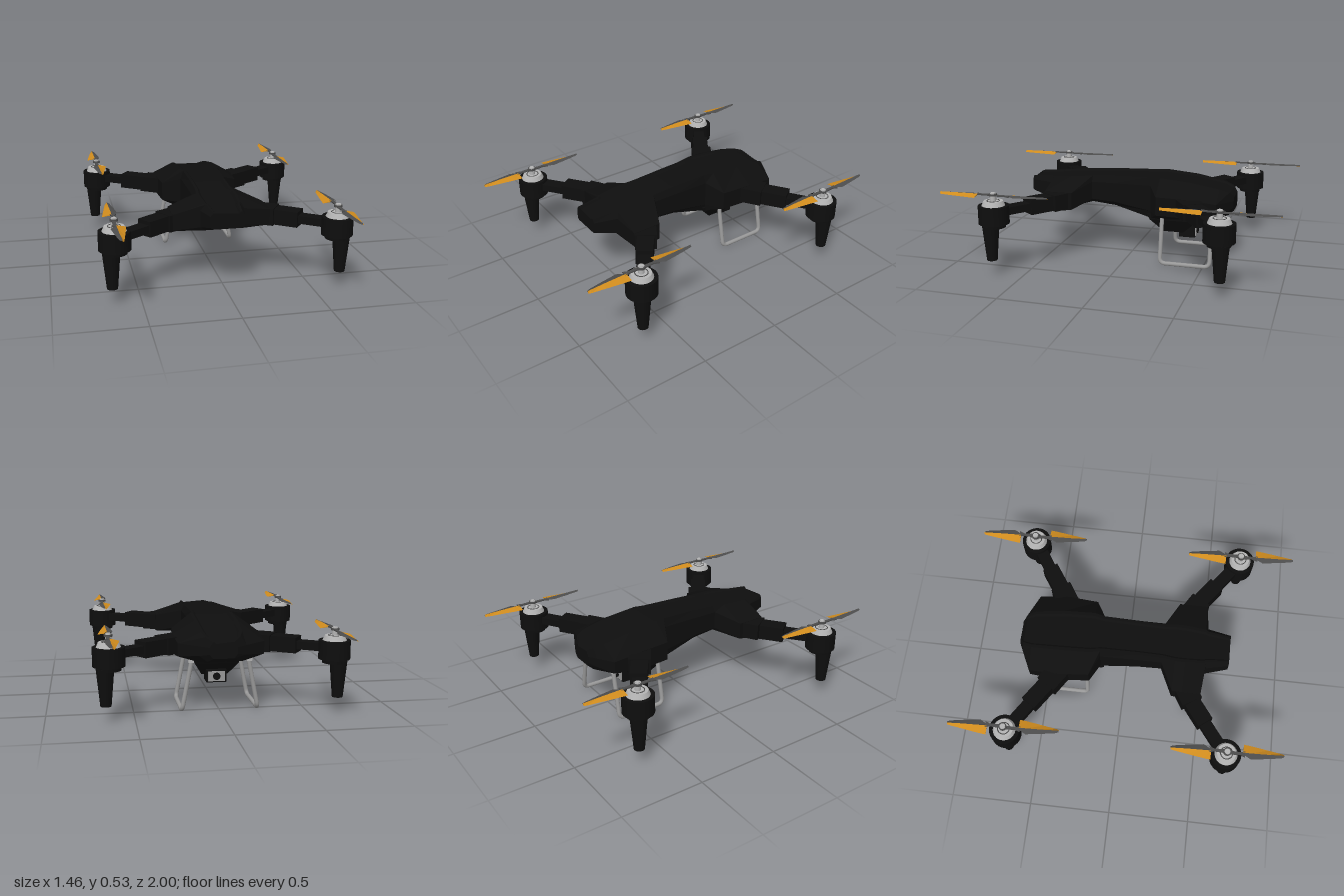
import * as THREE from 'three';

const mat = (name, color, flatShading = false) => {
  const m = new THREE.MeshStandardMaterial({ color, flatShading });
  m.name = name;
  return m;
};

// Closed solid through a list of rings, each clockwise as seen from the first end
function loft(rings) {
  const out = [];
  const n = rings[0].length;
  const tri = (a, b, c) => out.push(...a, ...b, ...c);
  for (let i = 0; i < rings.length - 1; i++) {
    for (let j = 0; j < n; j++) {
      const k = (j + 1) % n, A = rings[i], B = rings[i + 1];
      tri(A[j], A[k], B[j]);
      tri(A[k], B[k], B[j]);
    }
  }
  const first = rings[0], last = rings[rings.length - 1];
  for (let j = 1; j < n - 1; j++) {
    tri(first[0], first[j + 1], first[j]);
    tri(last[0], last[j], last[j + 1]);
  }
  const g = new THREE.BufferGeometry();
  g.setAttribute('position', new THREE.Float32BufferAttribute(out, 3));
  g.computeVertexNormals();
  return g;
}

export function createModel() {
  const black = mat('body black', 0x0e0e0e);
  const silver = mat('motor silver', 0xb4b4b4);
  const steel = mat('gear grey', 0x989898);
  const grey = mat('blade grey', 0x4c4c4c);
  const orange = mat('blade orange', 0xd08c1e);
  const model = new THREE.Group();

  const add = (parent, name, geo, material, x = 0, y = 0, z = 0) => {
    const m = new THREE.Mesh(geo, material);
    m.name = name;
    m.position.set(x, y, z);
    parent.add(m);
    return m;
  };
  const cyl = (rt, rb, h, n = 32) => new THREE.CylinderGeometry(rt, rb, h, n);
  const box = (w, h, d) => new THREE.BoxGeometry(w, h, d);

  // Fuselage: z, half width, ridge x, top, shoulder, low edge, belly half width, belly
  const stations = [
    [0.64, 0.10, 0.085, 0.485, 0.465, 0.40, 0.085, 0.39],
    [0.50, 0.13, 0.10, 0.495, 0.46, 0.36, 0.10, 0.345],
    [0.485, 0.29, 0.11, 0.497, 0.44, 0.345, 0.13, 0.335],
    [0.37, 0.29, 0.12, 0.507, 0.44, 0.325, 0.13, 0.315],
    [0.31, 0.29, 0.12, 0.51, 0.44, 0.335, 0.13, 0.328],
    [0.23, 0.13, 0.11, 0.517, 0.48, 0.37, 0.11, 0.35],
    [0.08, 0.13, 0.11, 0.525, 0.48, 0.36, 0.11, 0.335],
    [-0.15, 0.132, 0.115, 0.532, 0.48, 0.32, 0.12, 0.272],
    [-0.21, 0.245, 0.13, 0.532, 0.44, 0.325, 0.13, 0.27],
    [-0.40, 0.26, 0.13, 0.515, 0.44, 0.325, 0.13, 0.28],
    [-0.58, 0.25, 0.12, 0.482, 0.42, 0.345, 0.12, 0.305],
    [-0.635, 0.135, 0.10, 0.462, 0.41, 0.355, 0.09, 0.32],
    [-0.66, 0.08, 0.06, 0.435, 0.405, 0.365, 0.06, 0.34],
  ];
  const hull = stations.map(([z, w, t, top, sh, low, bw, bot]) => {
    const half = [[t * 0.75, top - 0.01], [t * 0.85, top], [t, top], [w, sh], [w, low], [bw, bot]];
    return [...half, ...half.map(([x, y]) => [-x, y]).reverse()].map(([x, y]) => [x, y, z]);
  });
  add(model, 'fuselage', loft(hull), black);

  // Camera mount and camera under the fuselage
  const mountRing = (y, w, z0, z1) => [[-w, y, z0], [w, y, z0], [w, y, z1], [-w, y, z1]];
  add(model, 'cameraMount', loft([
    mountRing(0.30, 0.135, -0.46, -0.13),
    mountRing(0.265, 0.13, -0.44, -0.145),
    mountRing(0.18, 0.08, -0.35, -0.225),
  ]), black);
  add(model, 'camera', box(0.12, 0.075, 0.10), black, 0, 0.183, -0.37);
  add(model, 'cameraFace', box(0.10, 0.06, 0.006), steel, 0, 0.183, -0.422);
  const lens = add(model, 'cameraLens', cyl(0.022, 0.022, 0.008, 24), black, 0, 0.183, -0.427);
  lens.rotation.x = Math.PI / 2;

  // Straight arm piece between two plan points
  const beam = (name, [x0, z0], [x1, z1], y, w, h) => {
    const b = add(model, name, box(Math.hypot(x1 - x0, z1 - z0), h, w), black,
      (x0 + x1) / 2, y, (z0 + z1) / 2);
    b.rotation.y = -Math.atan2(z1 - z0, x1 - x0);
  };

  // One propeller half: x of orange edge, ridge and grey edge at each z
  const blade = [
    [-0.095, -0.056, -0.004, 0.006],
    [-0.14, -0.051, -0.005, 0.030],
    [-0.24, -0.036, -0.008, 0.016],
    [-0.318, -0.024, -0.012, 0.003],
    [-0.333, -0.020, -0.012, -0.004],
  ];
  const orangeHalf = loft(blade.map(([z, l, m]) => [[l, -0.009, z], [m, 0.004, z], [m, -0.003, z]]));
  const greyHalf = loft(blade.map(([z, , m, r]) => [[m, 0.004, z], [r, -0.002, z], [m, -0.003, z]]));
  const root = loft([[0, 0.014], [-0.05, 0.012], [-0.075, 0.01], [-0.105, 0.022]].map(([z, w]) =>
    [[-w * 0.6, 0.003, z], [w, 0.003, z], [w, -0.004, z], [-w * 0.6, -0.004, z]]));

  for (const sx of [-1, 1]) {
    for (const sz of [-1, 1]) {
      const label = (sz > 0 ? 'front' : 'rear') + (sx > 0 ? 'Left' : 'Right');
      const X = 0.64 * sx, Z = 0.667 * sz;

      // Folding arm
      const p = (x, z) => [x * sx, z * sz];
      const start = sz > 0 ? p(0.20, 0.355) : p(0.18, 0.365);
      const mid = sz > 0 ? p(0.34, 0.44) : p(0.33, 0.462);
      const knee = sz > 0 ? p(0.46, 0.53) : p(0.46, 0.55);
      beam(label + 'ArmRoot', start, mid, 0.388, 0.13, 0.10);
      beam(label + 'Arm', mid, knee, 0.388, 0.10, 0.092);
      beam(label + 'ArmTip', knee, [X, Z], 0.388, 0.075, 0.046);

      // Motor pod with landing foot
      const pod = new THREE.Group();
      pod.name = label + 'Motor';
      pod.position.set(X, 0, Z);
      model.add(pod);
      add(pod, 'podShell', cyl(0.091, 0.091, 0.108), black, 0, 0.377, 0);
      add(pod, 'podBase', cyl(0.072, 0.068, 0.03), black, 0, 0.315, 0);
      add(pod, 'foot', cyl(0.051, 0.031, 0.215, 20), black, 0.022 * sx, 0.2075, 0.013 * sz);
      add(pod, 'motorBell', cyl(0.057, 0.069, 0.028), silver, 0, 0.444, 0);
      const ring = add(pod, 'motorRing', new THREE.TorusGeometry(0.036, 0.003, 6, 32), grey, 0, 0.458, 0);
      ring.rotation.x = Math.PI / 2;
      add(pod, 'shaft', cyl(0.017, 0.017, 0.05, 20), silver, 0, 0.478, 0);
      add(pod, 'hub', cyl(0.024, 0.024, 0.012, 24), grey, 0, 0.494, 0);
      add(pod, 'hubCap', cyl(0.013, 0.013, 0.01, 16), silver, 0, 0.502, 0);

      // Two-bladed propeller
      const prop = new THREE.Group();
      prop.name = 'propeller';
      prop.position.y = 0.491;
      pod.add(prop);
      for (const turn of [0, Math.PI]) {
        add(prop, 'bladeOrange', orangeHalf, orange).rotation.y = turn;
        add(prop, 'bladeGrey', greyHalf, grey).rotation.y = turn;
        add(prop, 'bladeRoot', root, grey).rotation.y = turn;
      }
    }

    // Bent-tube landing gear, splayed outward
    const P = (y, z) => new THREE.Vector3(sx * (0.17 + (0.29 - y) * 0.195), y, z);
    const path = new THREE.CurvePath();
    const zf = -0.235, zr = -0.545, yb = 0.017, r = 0.035;
    path.add(new THREE.LineCurve3(P(0.295, zf), P(yb + r, zf)));
    path.add(new THREE.QuadraticBezierCurve3(P(yb + r, zf), P(yb, zf), P(yb, zf - r)));
    path.add(new THREE.LineCurve3(P(yb, zf - r), P(yb, zr + r)));
    path.add(new THREE.QuadraticBezierCurve3(P(yb, zr + r), P(yb, zr), P(yb + r, zr)));
    path.add(new THREE.LineCurve3(P(yb + r, zr), P(0.315, zr)));
    const side = sx > 0 ? 'left' : 'right';
    add(model, side + 'LandingGear', new THREE.TubeGeometry(path, 80, 0.013, 12), steel);
    add(model, side + 'GearCap', box(0.03, 0.03, 0.03), silver, sx * 0.17, 0.315, zr);
  }
  return model;
}
